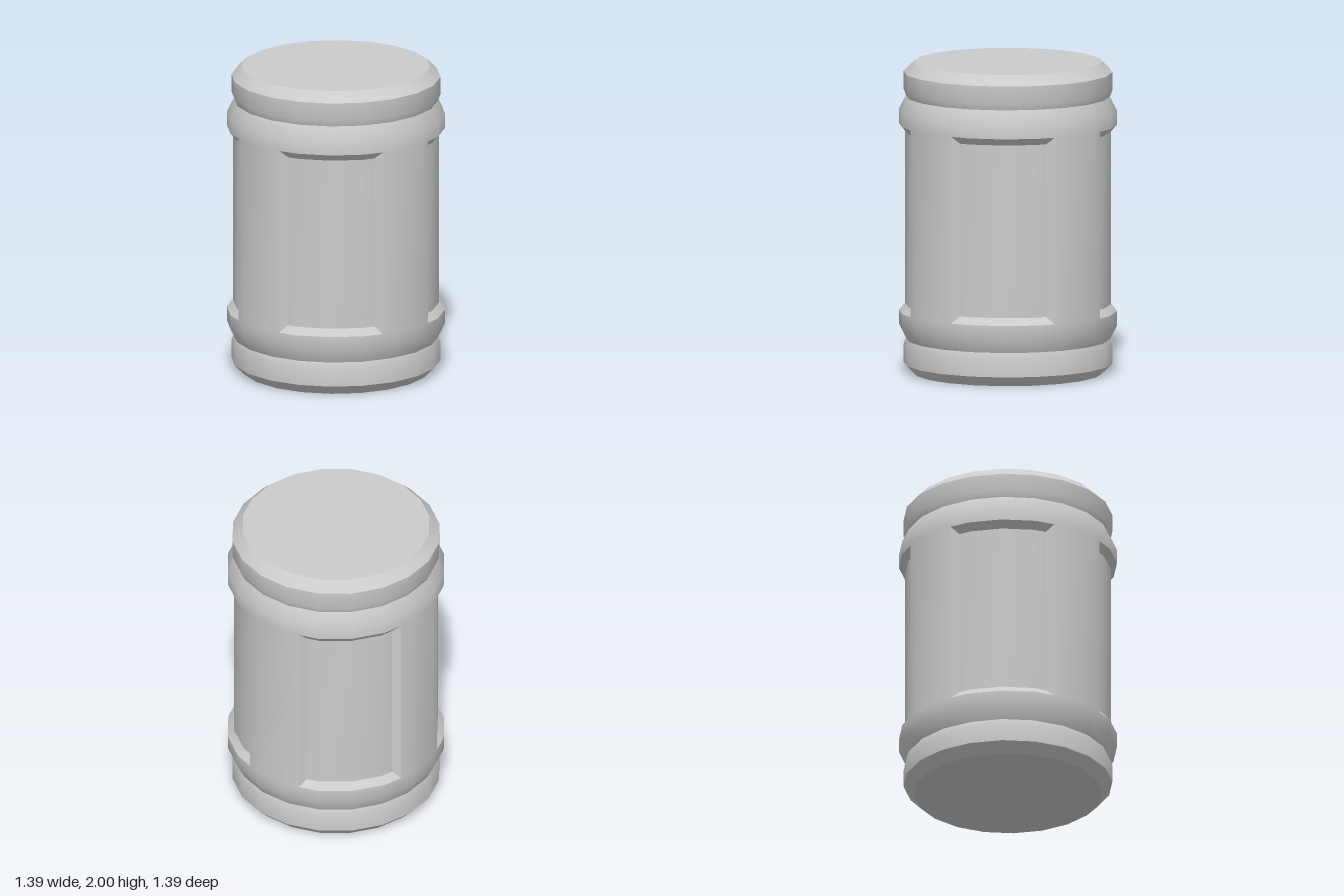
import * as THREE from 'three';
import { mergeGeometries, toCreasedNormals } from 'three/addons/utils/BufferGeometryUtils.js';

const SIDES = 20, STEP = 360 / SIDES;
const CREASE = 0.6;
const R = 0.695, FLOOR_R = 0.655;          // wall and panel floor radii
const Y0 = 0.40, Y1 = 1.60, BEVEL = 0.045; // panel opening
const OPEN = 28.7, INNER = 25.15;          // half angles of opening and floor

// Point on a 20-sided prism of corner radius r, at an angle from +z
function ringPoint(r, deg, y) {
  const local = ((deg % STEP) + STEP) % STEP - STEP / 2;
  const d = r * Math.cos(Math.PI / SIDES) / Math.cos(THREE.MathUtils.degToRad(local));
  const a = THREE.MathUtils.degToRad(deg);
  return new THREE.Vector3(Math.sin(a) * d, y, Math.cos(a) * d);
}

// Strip of quads between a lower and an upper row, both running counter-clockwise
function strip(lower, upper) {
  const pts = [];
  for (let i = 0; i < lower.length - 1; i++) {
    pts.push(lower[i], lower[i + 1], upper[i + 1], lower[i], upper[i + 1], upper[i]);
  }
  return new THREE.BufferGeometry().setFromPoints(pts);
}

// Turned end of the barrel: chamfer, collar, groove and shoulder
function barrelEnd(profile) {
  const g = new THREE.LatheGeometry(profile.map(([r, y]) => new THREE.Vector2(r, y)), SIDES).toNonIndexed();
  g.deleteAttribute('normal');
  g.deleteAttribute('uv');
  return g;
}

export function createModel() {
  const group = new THREE.Group();
  const material = new THREE.MeshStandardMaterial({ color: 0xcccccc });
  const add = (parts, name) => {
    const mesh = new THREE.Mesh(toCreasedNormals(mergeGeometries(parts), CREASE), material);
    mesh.name = name;
    group.add(mesh);
  };

  const bottom = [[0, 0], [0.6, 0], [0.665, 0.065], [0.665, 0.18], [0.65, 0.22], [R, 0.31], [R, Y0]];
  const top = bottom.map(([r, y]) => [r, 2 - y]).reverse();
  const body = [barrelEnd(bottom), barrelEnd(top)];

  for (let q = 0; q < 4; q++) {
    const row = (r, angles, y) => angles.map(a => ringPoint(r, a + q * 90, y));

    // Wall between this panel and the next
    const wall = [OPEN, 36, 54, 90 - OPEN];
    body.push(strip(row(R, wall, Y0), row(R, wall, Y1)));

    // Recessed panel: floor and four bevels
    const outer = [-OPEN, -18, 0, 18, OPEN], inner = [-INNER, -18, 0, 18, INNER];
    const outLow = row(R, outer, Y0), outHigh = row(R, outer, Y1);
    const inLow = row(FLOOR_R, inner, Y0 + BEVEL), inHigh = row(FLOOR_R, inner, Y1 - BEVEL);
    add([
      strip(inLow, inHigh),
      strip(outLow, inLow),
      strip(inHigh, outHigh),
      strip([outLow[0], inLow[0]], [outHigh[0], inHigh[0]]),
      strip([inLow[4], outLow[4]], [inHigh[4], outHigh[4]]),
    ], 'recessedPanel' + (q + 1));
  }
  add(body, 'barrelBody');
  return group;
}
